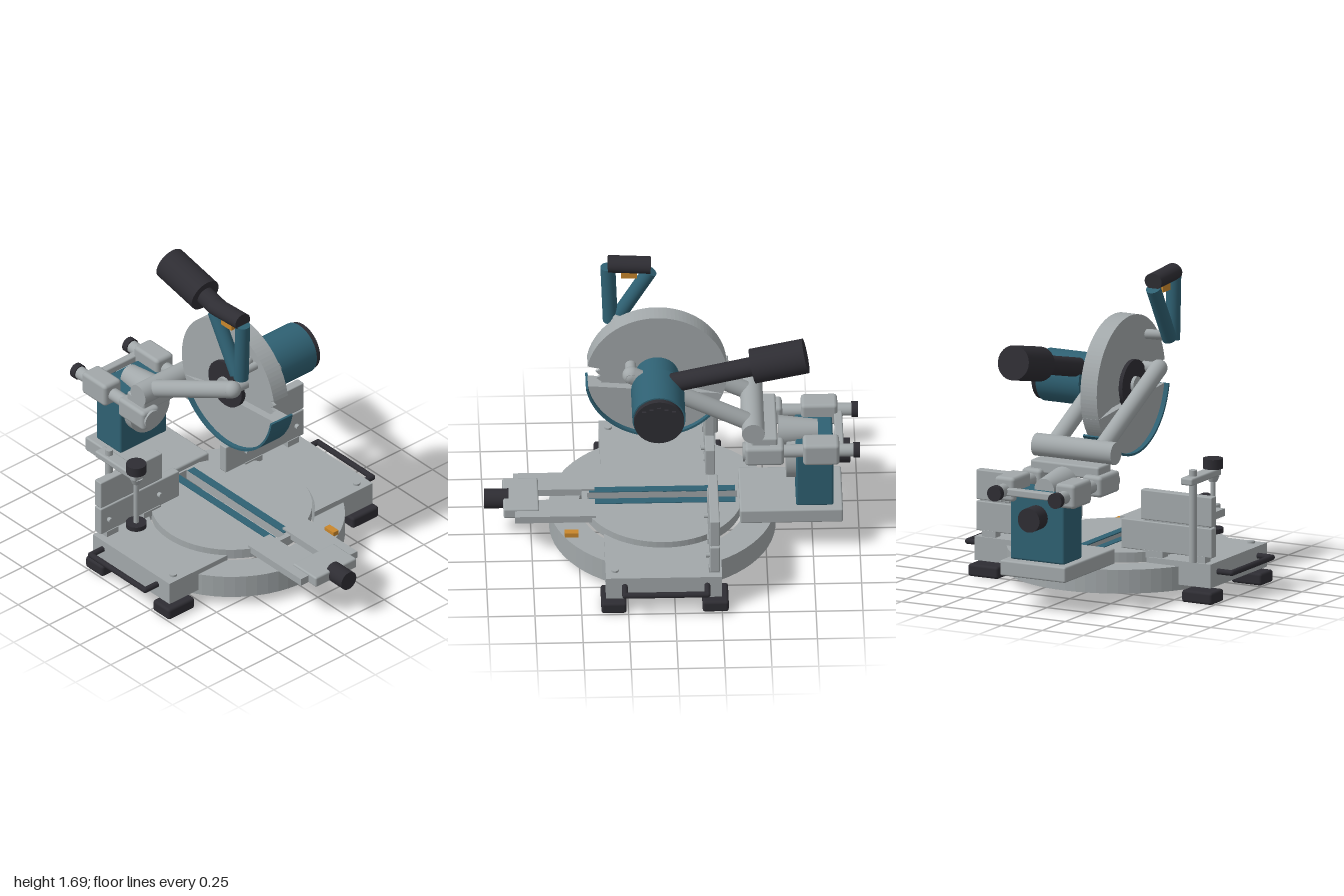
import * as THREE from 'three';
import { RoundedBoxGeometry } from 'three/addons/geometries/RoundedBoxGeometry.js';

const material = (name, color) => {
  const m = new THREE.MeshStandardMaterial({ color });
  m.name = name;
  return m;
};

export function createModel() {
  const root = new THREE.Group();
  root.name = 'mitreSaw';
  const grey = material('castGrey', 0xa2a8aa);
  const teal = material('tealPaint', 0x2f6173);
  const black = material('blackRubber', 0x2e2d33);
  const orange = material('orangeAccent', 0xc9872c);
  const V = (x, y, z) => new THREE.Vector3(x, y, z);

  const add = (name, geo, mat) => {
    const m = new THREE.Mesh(geo, mat);
    m.name = name;
    root.add(m);
    return m;
  };
  // Box given by its extents on each axis, with optional rounded edges
  const box = (name, mat, x0, x1, y0, y1, z0, z1, r = 0) => {
    const s = [x1 - x0, y1 - y0, z1 - z0];
    const g = r ? new RoundedBoxGeometry(...s, 2, r) : new THREE.BoxGeometry(...s);
    g.translate((x0 + x1) / 2, (y0 + y1) / 2, (z0 + z1) / 2);
    return add(name, g, mat);
  };
  // Cylinder between two points
  const rod = (name, mat, a, b, r, r2 = r, n = 32) => {
    const d = b.clone().sub(a);
    const m = add(name, new THREE.CylinderGeometry(r2, r, d.length(), n), mat);
    m.position.copy(a).add(b).multiplyScalar(0.5);
    m.quaternion.setFromUnitVectors(V(0, 1, 0), d.normalize());
    return m;
  };
  // Horizontal plate: shape x stays x, shape y becomes -z
  const plate = (name, mat, shape, y0, y1, z = 0) => {
    const g = new THREE.ExtrudeGeometry(shape, { depth: y1 - y0, bevelEnabled: false, curveSegments: 32 });
    g.rotateX(-Math.PI / 2);
    g.translate(0, y0, z);
    return add(name, g, mat);
  };
  // Upright plate in the blade plane: shape x becomes z
  const bladeY = 1.07, bladeZ = 0.08;
  const upright = (name, mat, shape, x0, x1) => {
    const g = new THREE.ExtrudeGeometry(shape, { depth: x1 - x0, bevelEnabled: false, curveSegments: 28 });
    g.rotateY(-Math.PI / 2);
    g.translate(x1, bladeY, bladeZ);
    return add(name, g, mat);
  };
  const rectPath = (x0, x1, y0, y1) => new THREE.Path([
    new THREE.Vector2(x0, y0), new THREE.Vector2(x1, y0), new THREE.Vector2(x1, y1), new THREE.Vector2(x0, y1)]);
  const tableZ = 0.05;

  // Base ring and rotating table with its kerf slot
  const ring = new THREE.Shape().absarc(0, 0, 0.605, 0, Math.PI * 2);
  ring.holes.push(new THREE.Path().absarc(0, 0, 0.445, 0, Math.PI * 2, true));
  plate('baseRing', grey, ring, 0.06, 0.19, tableZ);
  const disc = new THREE.Shape().absarc(0, 0, 0.43, 0, Math.PI * 2);
  disc.holes.push(rectPath(-0.03, 0.03, -0.4, 0.4));
  plate('turntable', grey, disc, 0.19, 0.245, tableZ);

  // Parts repeated on both sides of the base
  for (const s of [-1, 1]) {
    const span = (name, mat, a, b, ...rest) => box(name, mat, Math.min(s * a, s * b), Math.max(s * a, s * b), ...rest);
    const a0 = Math.asin(0.3 / 0.445), a1 = Math.asin(0.32 / 0.445);
    const wing = new THREE.Shape();
    wing.moveTo(s * 0.72, -0.32);
    wing.lineTo(s * 0.72, 0.3);
    if (s > 0) wing.absarc(0, 0, 0.445, a0, -a1, true);
    else wing.absarc(0, 0, 0.445, Math.PI - a0, Math.PI + a1, false);
    wing.closePath();
    plate('sideWing', grey, wing, 0.09, 0.22, tableZ);
    span('kerfInsert', teal, 0.03, 0.075, 0.243, 0.249, -0.34, 0.44);
    span('frontFoot', black, 0.56, 0.745, 0.005, 0.072, 0.26, 0.395, 0.015);
    span('rearFoot', black, 0.56, 0.745, 0.005, 0.072, -0.285, -0.145, 0.015);
    rod('wingBolt', grey, V(s * 0.65, 0.21, 0.32), V(s * 0.65, 0.232, 0.32), 0.02);

    // Carrying bar
    const bar = new THREE.CurvePath();
    const pts = [V(s * 0.7, 0.168, 0.27), V(s * 0.805, 0.168, 0.27), V(s * 0.805, 0.168, -0.17), V(s * 0.7, 0.168, -0.17)];
    for (let i = 0; i < 3; i++) bar.add(new THREE.LineCurve3(pts[i], pts[i + 1]));
    for (let i = 0; i < 3; i++) rod('carryBar', black, pts[i], pts[i + 1], 0.016, 0.016, 12);
    for (const p of [pts[1], pts[2]]) add('carryBarCorner', new THREE.SphereGeometry(0.016, 12, 8), black).position.copy(p);

    // Fence
    span('lowerFence', grey, 0.165, 0.72, 0.25, 0.412, -0.237, -0.185, 0.006);
    span('upperFence', grey, 0.285, 0.72, 0.42, 0.582, -0.237, -0.185, 0.006);
    span('fenceRib', grey, 0.3, 0.7, 0.4, 0.43, -0.23, -0.195);
    span('fenceFoot', grey, 0.6, 0.68, 0.215, 0.255, -0.24, -0.18);
    span('fenceFoot', grey, 0.3, 0.42, 0.215, 0.255, -0.24, -0.18);
    for (const x of [0.31, 0.665]) rod('fenceScrew', grey, V(s * x, 0.328, -0.19), V(s * x, 0.328, -0.165), 0.014, 0.014, 16);

    // Slide rail with front carriage, rear clamp and locking knob
    const x = s * 0.185;
    rod('slideRail', grey, V(x, 0.655, -0.38), V(x, 0.655, -0.97), 0.035);
    rod('railNose', grey, V(x, 0.655, -0.375), V(x, 0.655, -0.42), 0.052);
    box('railCarriage', grey, x - 0.06, x + 0.06, 0.597, 0.712, -0.595, -0.385, 0.02);
    box('railClamp', grey, x - 0.06, x + 0.06, 0.592, 0.725, -0.89, -0.695, 0.02);
    rod('railKnob', black, V(x, 0.655, -0.965), V(x, 0.655, -1), 0.042);

    // Swing arm
    rod('swingArm', grey, V(s * 0.142, 0.81, -0.43), V(s * 0.142, 1.14, 0.22), 0.047);
    add('swingArmEnd', new THREE.SphereGeometry(0.047, 24, 16), grey).position.set(s * 0.142, 1.14, 0.22);
  }

  // Front mitre arm, lock knob and pointer
  const arm = new THREE.Shape([[-0.2, -0.84], [0.2, -0.84], [0.2, -0.41], [0.045, -0.41], [0.045, -0.72],
    [-0.045, -0.72], [-0.045, -0.41], [-0.2, -0.41]].map(p => new THREE.Vector2(...p)));
  plate('mitreArm', grey, arm, 0.217, 0.258);
  box('mitreLockPlate', grey, -0.145, 0.145, 0.21, 0.27, 0.71, 0.9, 0.01);
  rod('mitreKnob', black, V(0, 0.24, 0.87), V(0, 0.24, 1), 0.053);
  box('mitrePointer', orange, 0.26, 0.297, 0.188, 0.215, 0.505, 0.578);

  // Rear plate and bevel post
  box('rearPlate', grey, -0.2, 0.2, 0.19, 0.275, -0.91, -0.36, 0.01);
  box('bevelPost', teal, -0.165, 0.165, 0.275, 0.65, -0.86, -0.66, 0.012);
  rod('bevelDisc', grey, V(0, 0.52, -0.665), V(0, 0.52, -0.61), 0.14, 0.14, 48);
  rod('bevelKnob', black, V(0, 0.52, -0.85), V(0, 0.52, -0.952), 0.066);
  box('railBridge', grey, -0.21, 0.21, 0.685, 0.755, -0.56, -0.42, 0.012);
  box('rearBridge', grey, -0.2, 0.2, 0.63, 0.67, -0.915, -0.87, 0.008);
  rod('postNeck', grey, V(0, 0.655, -0.78), V(0, 0.655, -0.57), 0.06, 0.085);
  rod('pivotTube', grey, V(-0.243, 0.81, -0.43), V(0.243, 0.81, -0.43), 0.061);
  rod('armCrossBar', grey, V(-0.142, 1.14, 0.22), V(0.18, 1.14, 0.22), 0.03);

  // Work clamp
  const cx = -0.61;
  rod('clampPost', grey, V(cx, 0.22, -0.245), V(cx, 0.725, -0.245), 0.021);
  box('clampArm', grey, cx - 0.037, cx + 0.037, 0.653, 0.693, -0.32, 0.005, 0.01);
  rod('clampBoss', grey, V(cx, 0.62, -0.025), V(cx, 0.655, -0.025), 0.022, 0.036);
  rod('clampScrew', grey, V(cx, 0.35, -0.025), V(cx, 0.7, -0.025), 0.014, 0.014, 16);
  rod('clampPad', black, V(cx, 0.342, -0.025), V(cx, 0.368, -0.025), 0.056);
  rod('clampKnob', black, V(cx, 0.693, -0.025), V(cx, 0.747, -0.025), 0.054);

  // Blade guards as pie sectors, with a band round the lower one
  const rad = THREE.MathUtils.degToRad;
  const sector = (r, a, b) => {
    const s = new THREE.Shape();
    s.moveTo(0, 0);
    s.absarc(0, 0, r, rad(a), rad(b));
    s.closePath();
    return s;
  };
  upright('upperGuard', grey, sector(0.375, 10, 200), -0.05, 0.05);
  upright('lowerGuard', grey, sector(0.376, 200, 350), -0.049, 0.049);
  const band = new THREE.Shape().absarc(0, 0, 0.385, rad(218), rad(350));
  band.absarc(0, 0, 0.373, rad(350), rad(218), true);
  band.closePath();
  upright('lowerGuardBand', teal, band, -0.075, 0.075);

  // Toothed blade, arbor and side flange
  const blade = new THREE.Shape();
  for (let i = 0; i < 48; i++) {
    const a = i / 48 * Math.PI * 2;
    blade[i ? 'lineTo' : 'moveTo'](0.325 * Math.cos(a), 0.325 * Math.sin(a));
    blade.lineTo(0.3 * Math.cos(a + 0.03), 0.3 * Math.sin(a + 0.03));
  }
  upright('blade', grey, blade, -0.007, 0.007);
  const axle = (name, mat, x0, x1, r) => rod(name, mat, V(x0, bladeY, bladeZ), V(x1, bladeY, bladeZ), r);
  axle('arbor', grey, -0.05, 0.05, 0.08);
  axle('sideFlange', black, -0.072, -0.045, 0.135);
  axle('flangeNut', grey, -0.09, -0.07, 0.045);

  // Motor with vented end cap
  axle('gearHousing', teal, 0.04, 0.2, 0.118);
  axle('motorBody', teal, 0.19, 0.455, 0.142);
  axle('motorCap', black, 0.45, 0.484, 0.134);
  for (let i = -2; i <= 2; i++) {
    const h = 0.1 - Math.abs(i) * 0.012, z = bladeZ + i * 0.04;
    box('motorVentRib', black, 0.48, 0.496, bladeY - h, bladeY + h, z - 0.011, z + 0.011);
  }

  // Main operating handle
  rod('handleStem', black, V(0.228, 1.145, 0.01), V(0.228, 1.25, -0.44), 0.052);
  rod('handleGrip', black, V(0.228, 1.248, -0.425), V(0.228, 1.31, -0.71), 0.094);

  // Carry handle on the left of the guard
  const hx = -0.17;
  rod('carryHandleFront', teal, V(hx, 1.28, 0.322), V(hx, 1.63, 0.335), 0.04);
  rod('carryHandleBack', teal, V(hx, 1.29, 0.29), V(hx, 1.6, 0.11), 0.04);
  rod('carryHandleGrip', black, V(hx, 1.65, 0.335), V(hx, 1.637, 0.108), 0.045).scale.x = 1.15;
  box('trigger', orange, hx - 0.02, hx + 0.02, 1.565, 1.605, 0.18, 0.265);
  rod('carryHandleMount', grey, V(-0.17, 1.31, 0.3), V(-0.04, 1.31, 0.25), 0.026);
  rod('carryHandleMount', grey, V(-0.17, 1.295, 0.3), V(-0.04, 1.295, 0.3), 0.022);

  return root;
}
